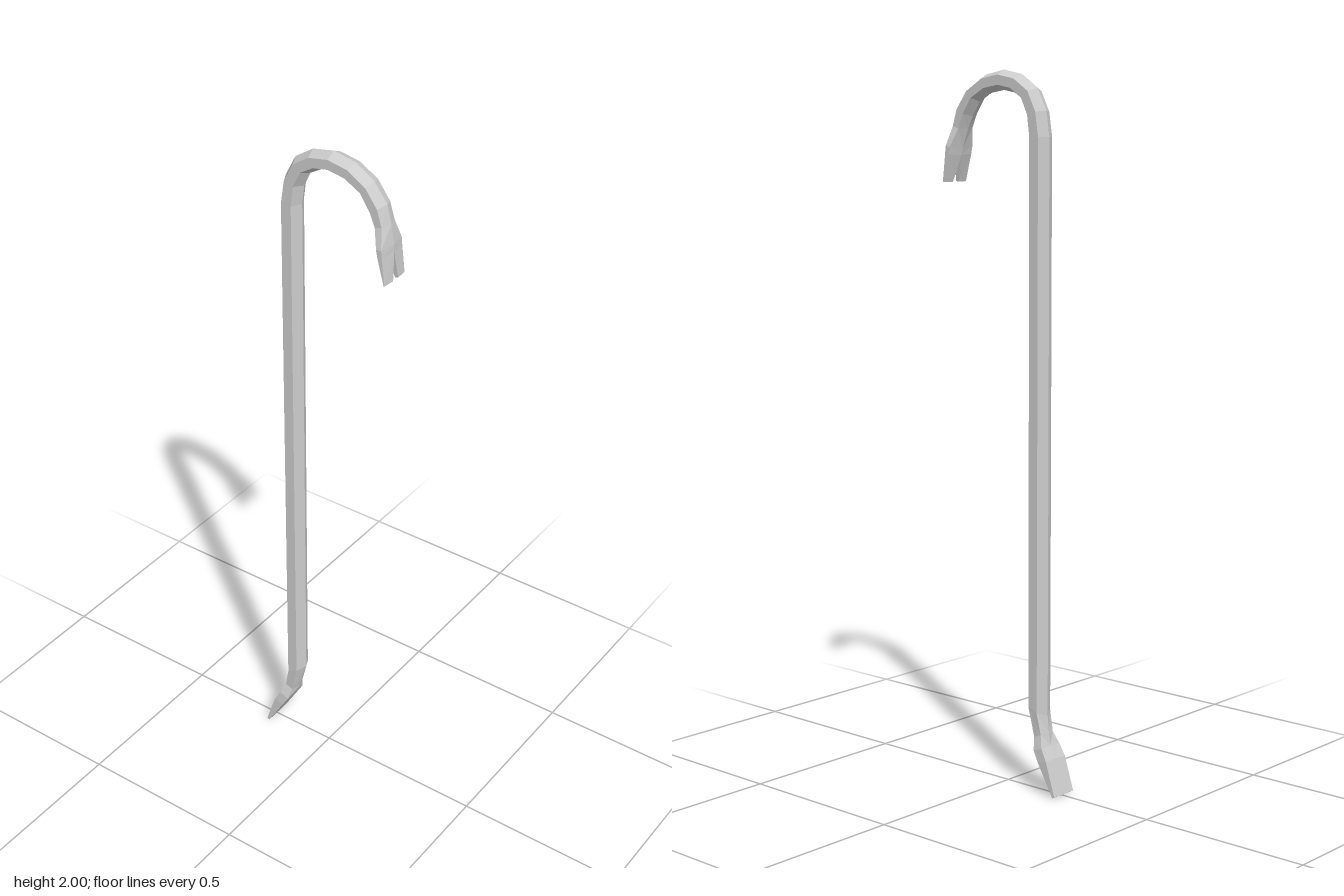
import * as THREE from 'three';

// Each row is one cross-section of the bar:
// [outer x, outer y, inner x, inner y, half width in z, ridge depth (0 = flat), half gap of the notch]
const HALF = 0.029;
const chiselRows = [
  [-0.207, 0.004, -0.2, 0, 0.041, 0, 0],
  [-0.176, 0.1, -0.146, 0.092, 0.041, 0, 0],
  [-0.158, 0.135, -0.127, 0.122, 0.038, 0.04, 0],
  [-0.152, 0.17, -0.112, 0.155, 0.026, 0.2, 0],
  [-0.147, 0.22, -0.085, 0.25, HALF, 0.25, 0],
];
const shaftRows = [
  chiselRows[chiselRows.length - 1],
  [-0.147, 1.82, -0.085, 1.82, HALF, 0.25, 0],
];
const hookRows = [
  shaftRows[1],
  [-0.136, 1.89, -0.078, 1.875, HALF, 0.25, 0],
  [-0.105, 1.95, -0.058, 1.917, HALF, 0.25, 0],
  [-0.05, 1.987, -0.023, 1.938, HALF, 0.25, 0],
  [0.015, 2, 0.015, 1.945, HALF, 0.25, 0],
  [0.08, 1.988, 0.062, 1.938, HALF, 0.25, 0],
  [0.138, 1.952, 0.106, 1.915, HALF, 0.25, 0],
  [0.178, 1.9, 0.132, 1.875, HALF, 0.25, 0],
  [0.191, 1.85, 0.15, 1.84, HALF, 0.25, 0],
];
const clawRows = [
  hookRows[hookRows.length - 1],
  [0.2, 1.795, 0.169, 1.79, 0.046, 0.25, 0],
  [0.201, 1.775, 0.174, 1.77, 0.046, 0.25, 0],
  [0.207, 1.696, 0.198, 1.694, 0.046, 0.4, 0.011],
];

// Half of a six-sided section: outer ridge, two side corners, inner ridge
function halfSection([ox, oy, ix, iy, w, f, gap]) {
  const at = (t, z) => [ox + (ix - ox) * t, oy + (iy - oy) * t, z];
  return [at(0, gap), at(f, w), at(1 - f, w), at(1, gap)];
}

// Lofts the rows as two mirrored halves, so that the notch can part them
function loft(name, rows, material, capStart, capEnd) {
  const positions = [];
  const sections = rows.map(halfSection);
  for (const side of [1, -1]) {
    const tri = (a, b, c) => {
      for (const p of side > 0 ? [a, b, c] : [a, c, b]) positions.push(p[0], p[1], p[2] * side);
    };
    const quad = (a, b, c, d) => { tri(a, b, c); tri(a, c, d); };
    for (let i = 0; i < rows.length - 1; i++) {
      const s = sections[i], n = sections[i + 1];
      // the wall facing the mirror plane exists only inside the notch
      const walls = rows[i][6] + rows[i + 1][6] > 0 ? 4 : 3;
      for (let j = 0; j < walls; j++) {
        const k = (j + 1) % 4;
        quad(s[j], s[k], n[k], n[j]);
      }
    }
    if (capStart) quad(...[...sections[0]].reverse());
    if (capEnd) quad(...sections[sections.length - 1]);
  }
  const geometry = new THREE.BufferGeometry();
  geometry.setAttribute('position', new THREE.Float32BufferAttribute(positions, 3));
  geometry.computeVertexNormals();
  const mesh = new THREE.Mesh(geometry, material);
  mesh.name = name;
  return mesh;
}

export function createModel() {
  const group = new THREE.Group();
  group.name = 'crowbar';
  const steel = new THREE.MeshStandardMaterial({ color: 0xcccccc, flatShading: true });
  group.add(
    loft('chiselEnd', chiselRows, steel, true, false),
    loft('shaft', shaftRows, steel, false, false),
    loft('hook', hookRows, steel, false, false),
    loft('nailClaw', clawRows, steel, false, true),
  );
  return group;
}
